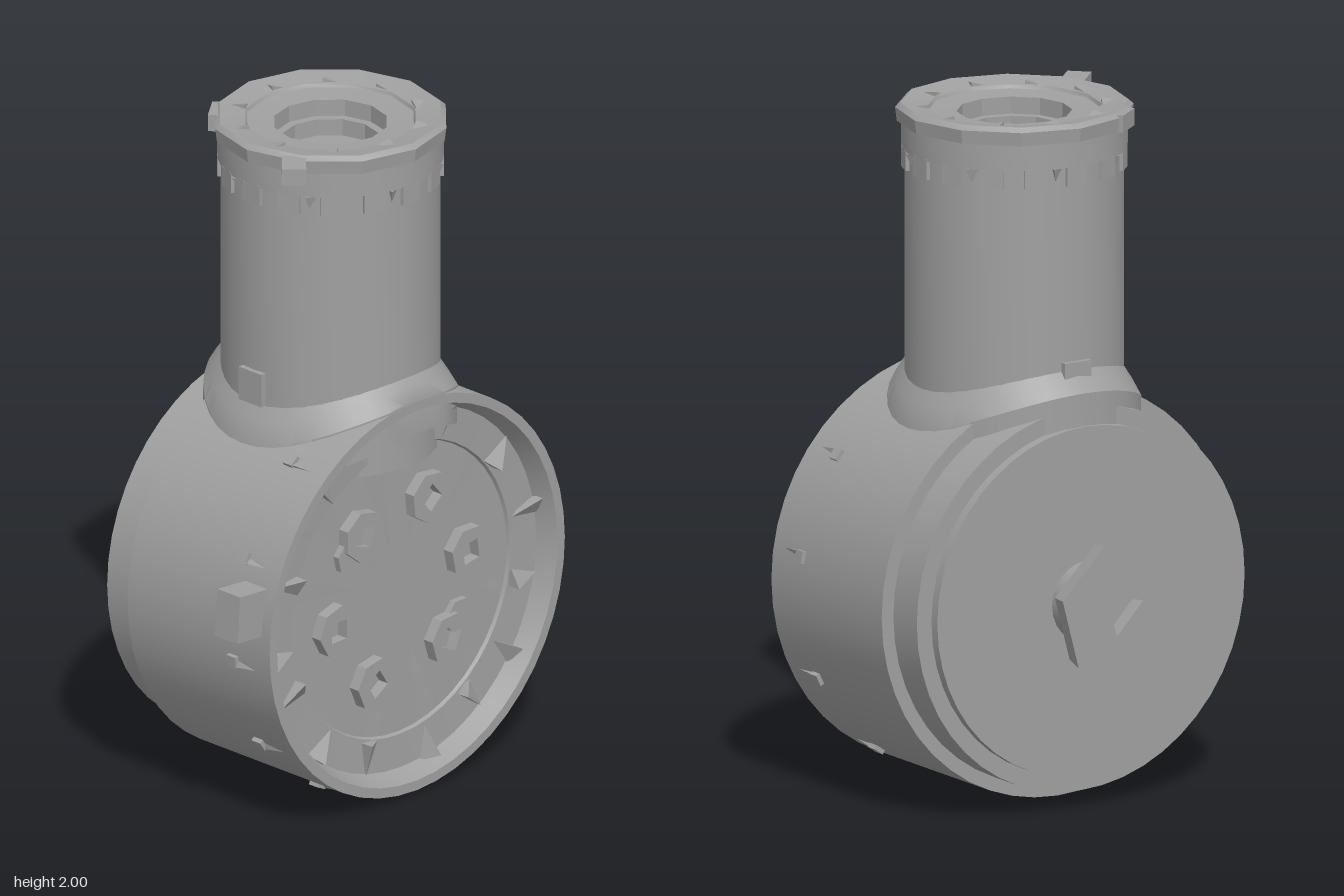
import * as THREE from 'three';
import { toCreasedNormals } from 'three/addons/utils/BufferGeometryUtils.js';

const CX = 0.04, CY = 0.61, NZ = 0.1; // drum axis x/y, neck axis z
const rad = THREE.MathUtils.degToRad;

export function createModel() {
  const model = new THREE.Group();
  const metal = new THREE.MeshStandardMaterial({ color: 0xa0a0a0 });
  metal.name = 'grey metal';

  const add = (name, geo, x = 0, y = 0, z = 0, parent = model) => {
    const mesh = new THREE.Mesh(toCreasedNormals(geo, 0.5), metal);
    mesh.name = name;
    mesh.position.set(x, y, z);
    parent.add(mesh);
    return mesh;
  };
  const lathe = (pts, sides) =>
    new THREE.LatheGeometry(pts.map(p => new THREE.Vector2(...p)), sides);
  const ngon = (Type, r, n, turn = 0) => {
    const pts = [];
    for (let i = 0; i < n; i++) {
      const a = turn + i / n * Math.PI * 2;
      pts.push(new THREE.Vector2(r * Math.cos(a), r * Math.sin(a)));
    }
    return new Type(pts);
  };
  const ringPrism = (r, n, hole, m, depth, turn = 0) => {
    const shape = ngon(THREE.Shape, r, n, turn);
    shape.holes.push(ngon(THREE.Path, hole, m, turn + 0.5));
    return new THREE.ExtrudeGeometry(shape, { depth, bevelEnabled: false });
  };

  // Drum: stepped back, dished front
  const drum = lathe([[0, -0.27], [0.51, -0.27], [0.51, -0.24], [0.56, -0.24], [0.56, -0.12],
    [0.6, -0.12], [0.6, 0.445], [0.57, 0.445], [0.545, 0.385], [0.445, 0.38], [0.44, 0.37], [0, 0.37]], 48);
  add('drum', drum.rotateX(Math.PI / 2), CX, CY, 0);

  // Chips lying on the ring inside the drum rim
  const chips = [101, 70, 39, 12, -12, -36, -56, -79, -107, -131, -157, -173, 162, 129];
  chips.forEach((deg, i) => {
    const g = new THREE.ConeGeometry(0.045, 0.1, 3).rotateY(0.5).scale(0.8, 1, 0.8);
    const pivot = new THREE.Group();
    pivot.name = 'rimChip';
    pivot.position.set(CX, CY, 0);
    pivot.rotation.z = rad(deg) - Math.PI / 2;
    model.add(pivot);
    add('chip', g, 0, 0.5, 0.39, pivot).rotation.z = i % 2 ? Math.PI : 0.2;
  });

  // Small studs around the outside of the drum
  for (let i = 0; i < 12; i++) {
    const a = rad(9 + i * 29.5);
    if (Math.abs(Math.sin(a) - 1) < 0.15) continue;
    const pivot = new THREE.Group();
    pivot.name = 'sideStud';
    pivot.position.set(CX, CY, 0);
    pivot.rotation.z = a;
    model.add(pivot);
    add('stud', new THREE.BoxGeometry(0.03, 0.035, 0.035), 0.597, 0, 0.3, pivot);
    add('studTail', new THREE.ConeGeometry(0.02, 0.13, 3).rotateX(Math.PI / 2),
      0.593, 0.005, 0.37, pivot);
  }
  add('sideLug', new THREE.BoxGeometry(0.12, 0.14, 0.09), -0.59, 0.725, 0.365).rotation.z = -0.08;

  // Hollow bolts on the front disc
  const bolts = [[-0.13, 0.83], [0.14, 0.87], [0.3, 0.655], [0.22, 0.41], [-0.08, 0.36], [-0.235, 0.57]];
  bolts.forEach(([x, y], i) =>
    add('bolt', ringPrism(0.078, 7, 0.042, 4, 0.04, i), x, y, 0.365));
  [[-0.17, 0.775], [0.275, 0.46]].forEach(([x, y]) =>
    add('boltWasher', new THREE.CylinderGeometry(0.055, 0.055, 0.03, 7).rotateX(Math.PI / 2), x, y, 0.375));

  // Back stem and knob
  add('stem', new THREE.CylinderGeometry(0.118, 0.118, 0.15, 24).rotateX(Math.PI / 2), CX, CY, -0.325);
  const knob = ringPrism(0.21, 6, 0.075, 3, 0.065, rad(15));
  const kp = knob.attributes.position;
  for (let i = 0; i < kp.count; i++) // narrow the side nearest the stem
    if (kp.getZ(i) > 0.03) kp.setXYZ(i, kp.getX(i) * 0.92, kp.getY(i) * 0.92, kp.getZ(i));
  add('knob', knob, CX - 0.005, CY + 0.005, -0.445);

  // Neck with open socket in the top cap
  add('neck', lathe([[0.313, 1.0], [0.313, 1.88]], 36), CX, 0, NZ);
  add('collar', lathe([[0.31, 1.87], [0.323, 1.87], [0.323, 1.945], [0.3, 1.945]], 36), CX, 0, NZ);
  add('cap', lathe([[0.3, 1.94], [0.335, 1.945], [0.34, 1.985], [0.325, 1.998], [0.25, 1.985], [0.245, 1.975],
    [0.165, 1.97], [0.165, 1.92], [0.14, 1.92], [0.14, 1.87], [0, 1.87]], 12), CX, 0, NZ);
  const onNeck = (name, geo, deg, r, y) => {
    const pivot = new THREE.Group();
    pivot.name = name + 'Mount';
    pivot.position.set(CX, 0, NZ);
    pivot.rotation.y = rad(deg);
    model.add(pivot);
    return add(name, geo, r, y, 0, pivot);
  };
  for (let i = 0; i < 16; i++) {
    onNeck('collarTooth', new THREE.BoxGeometry(0.03, 0.06, 0.065), i * 22.5, 0.307, 1.845);
    if (i % 2) onNeck('collarPin', new THREE.ConeGeometry(0.025, 0.05, 3).rotateX(Math.PI),
      i * 22.5 + 11.25, 0.308, 1.845);
  }
  for (let i = 0; i < 10; i++)
    onNeck('capChip', new THREE.ConeGeometry(0.03, 0.08, 3).rotateZ(-Math.PI / 2).scale(1, 0.5, 1),
      i * 36 + 10, 0.29, 1.985);
  onNeck('capLug', new THREE.BoxGeometry(0.1, 0.05, 0.07), 208, 0.37, 1.968).rotation.y = 0.3;
  onNeck('capBump', new THREE.BoxGeometry(0.06, 0.05, 0.1), 127, 0.315, 1.968);
  [90, 180].forEach(deg =>
    onNeck('neckClip', new THREE.BoxGeometry(0.03, 0.1, 0.09), deg, 0.312, 1.25));

  // Saddle flare joining the neck to the drum: rings draped over a circle
  const N = 40, rings = [[0.313, 0.665], [0.335, 0.64], [0.362, 0.605], [0.362, 0.5]];
  const pos = [], idx = [];
  rings.forEach(([r, drape]) => {
    for (let i = 0; i <= N; i++) {
      const a = i / N * Math.PI * 2, dx = r * Math.cos(a);
      pos.push(CX + dx, CY + Math.sqrt(drape * drape - dx * dx), Math.min(0.444, NZ + r * Math.sin(a)));
    }
  });
  for (let j = 0; j < rings.length - 1; j++)
    for (let i = 0; i < N; i++) {
      const a = j * (N + 1) + i, b = a + N + 1;
      idx.push(a, a + 1, b, b, a + 1, b + 1);
    }
  const flare = new THREE.BufferGeometry();
  flare.setAttribute('position', new THREE.Float32BufferAttribute(pos, 3));
  flare.setIndex(idx);
  add('neckFlare', flare);

  return model;
}
